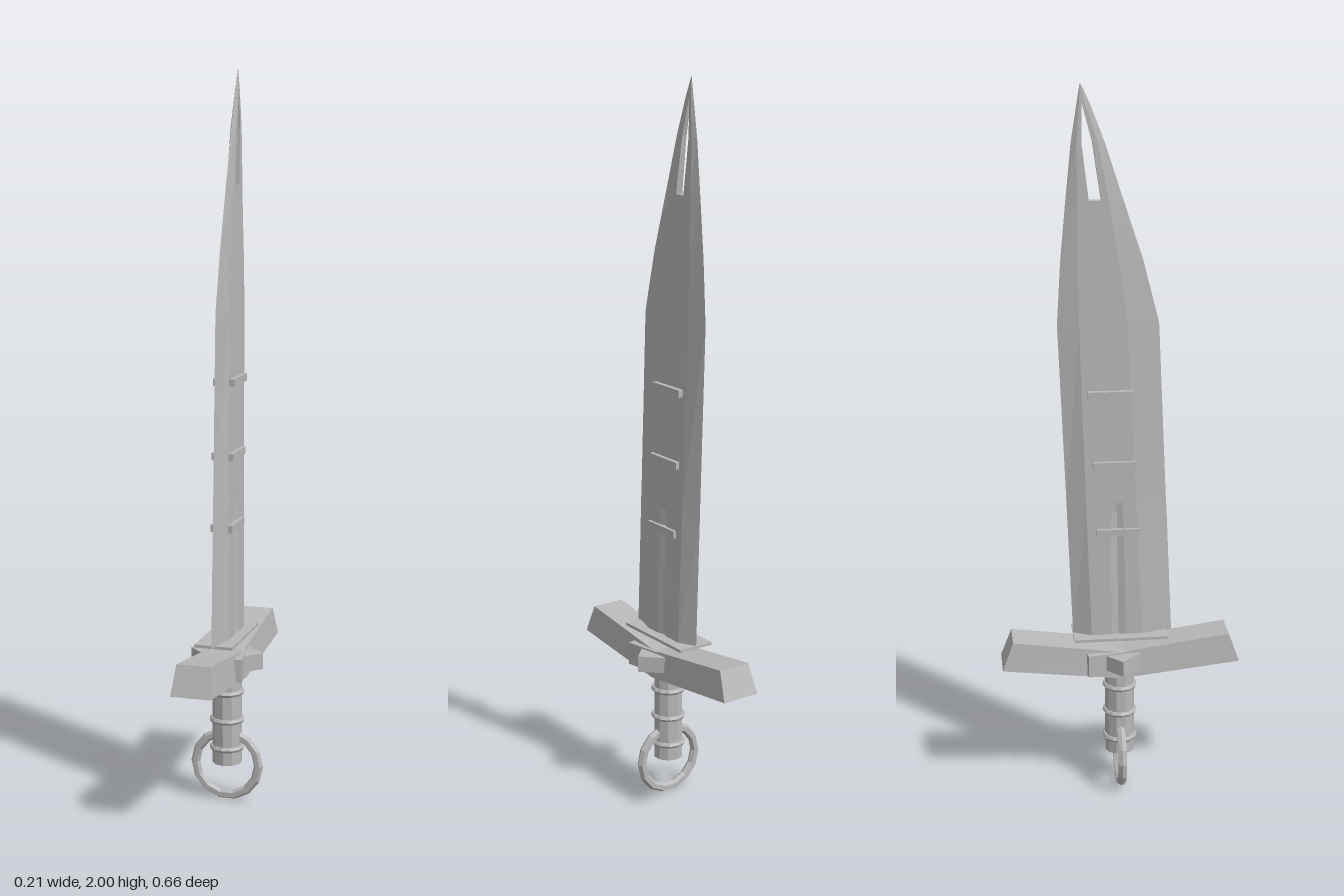
import * as THREE from 'three';

const steel = new THREE.MeshStandardMaterial({ color: 0xb8b8b8, flatShading: true });
steel.name = 'steel';

// Joins rows of [x, y, z] loops (counter-clockwise from above, rising) into a capped solid
function loft(rows) {
  const n = rows[0].length;
  const last = (rows.length - 1) * n;
  const index = [];
  for (let r = 0; r < rows.length - 1; r++) {
    for (let i = 0; i < n; i++) {
      const a = r * n + i, b = r * n + (i + 1) % n;
      index.push(a, b, b + n, a, b + n, a + n);
    }
  }
  for (let i = 1; i < n - 1; i++) {
    index.push(0, i + 1, i);
    index.push(last, last + i, last + i + 1);
  }
  const geo = new THREE.BufferGeometry();
  geo.setAttribute('position', new THREE.Float32BufferAttribute(rows.flat(2), 3));
  geo.setIndex(index);
  const flat = geo.toNonIndexed();
  flat.computeVertexNormals();
  return flat;
}

export function createModel() {
  const model = new THREE.Group();
  model.name = 'sword';
  const add = (name, geo, x = 0, y = 0, z = 0) => {
    const mesh = new THREE.Mesh(geo, steel);
    mesh.name = name;
    mesh.position.set(x, y, z);
    model.add(mesh);
    return mesh;
  };

  // Main blade: y, front edge, front ridge, groove sides, back ridge, back edge, half thickness, groove depth
  const bladeRows = [
    [0.475, 0.145, 0.06, 0.015, -0.025, -0.08, -0.13, 0.025, 0.006],
    [0.84, 0.129, 0.045, 0.008, -0.026, -0.092, -0.144, 0.0205, 0.005],
    [0.87, 0.127, 0.043, 0.007, -0.027, -0.093, -0.145, 0.02, 0],
    [1.37, 0.105, 0.02, -0.02, -0.055, -0.108, -0.165, 0.014, 0],
    [1.54, 0.062, -0.002, -0.035, -0.068, -0.11, -0.155, 0.012, 0],
    [1.7, 0.01, -0.028, -0.048, -0.08, -0.11, -0.14, 0.01, 0],
  ];
  add('blade', loft(bladeRows.map(([y, zf, rf, g1, g2, rb, zb, t, d]) => {
    const side = [[t, rf], [t, g1], [t - d, (g1 + g2) / 2], [t, g2], [t, rb]];
    return [
      [0, y, zf],
      ...side.map(([x, z]) => [x, y, z]),
      [0, y, zb],
      ...side.slice().reverse().map(([x, z]) => [-x, y, z]),
    ];
  })));

  // Split tip, two prongs around the slot: y, front edge, ridge, slot sides, ridge, back edge, half thickness
  const tipRows = [
    [1.7, 0.01, -0.028, -0.048, -0.08, -0.11, -0.14, 0.01],
    [1.85, -0.038, -0.056, -0.07, -0.098, -0.111, -0.125, 0.007],
    [1.95, -0.076, -0.088, -0.096, -0.096, -0.103, -0.109, 0.004],
    [2, -0.099, -0.0995, -0.1, -0.1, -0.1005, -0.101, 0.0006],
  ];
  add('frontProng', loft(tipRows.map(([y, zf, rf, s1, , , , t]) =>
    [[0, y, zf], [t, y, rf], [t, y, s1], [-t, y, s1], [-t, y, rf]])));
  add('backProng', loft(tipRows.map(([y, , , , s2, rb, zb, t]) =>
    [[t, y, s2], [t, y, rb], [0, y, zb], [-t, y, rb], [-t, y, s2]])));

  // Bars across the blade
  [[0.785, -0.005], [0.98, -0.016], [1.18, -0.028]].forEach(([y, z]) =>
    add('bladeBar', new THREE.BoxGeometry(0.06, 0.02, 0.12), 0, y, z));

  // Plate under the blade
  add('bladePlate', new THREE.BoxGeometry(0.106, 0.008, 0.26), 0, 0.475, 0);

  // Raised guard arms, narrower on top
  const arm = new THREE.BoxGeometry(1, 1, 1);
  const p = arm.attributes.position;
  for (let i = 0; i < p.count; i++) {
    const top = p.getY(i) > 0, outer = p.getZ(i) > 0;
    const y = outer ? (top ? 0.475 : 0.395) : (top ? 0.434 : 0.357);
    const z = outer ? (top ? 0.3 : 0.33) : 0;
    p.setXYZ(i, Math.sign(p.getX(i)) * (top ? 0.047 : 0.055), y, z);
  }
  arm.computeVertexNormals();
  add('frontGuardArm', arm);
  add('backGuardArm', arm).rotation.y = Math.PI;

  // Turned blocks at the guard centre
  add('guardDiamond', new THREE.BoxGeometry(0.145, 0.045, 0.145), 0, 0.408, 0).rotation.y = Math.PI / 4;
  add('guardBlock', new THREE.BoxGeometry(0.104, 0.064, 0.206), 0, 0.403, 0).rotation.y = 0.18;

  // Grip with raised bands
  add('grip', new THREE.CylinderGeometry(0.041, 0.041, 0.27, 10), 0, 0.245, 0);
  for (const y of [0.155, 0.235, 0.315]) {
    const band = add('gripBand', new THREE.TorusGeometry(0.041, 0.008, 6, 12), 0, y, 0);
    band.rotation.x = Math.PI / 2;
  }

  // Pommel ring
  add('pommelRing', new THREE.TorusGeometry(0.091, 0.013, 6, 14), 0, 0.104, 0);

  return model;
}
